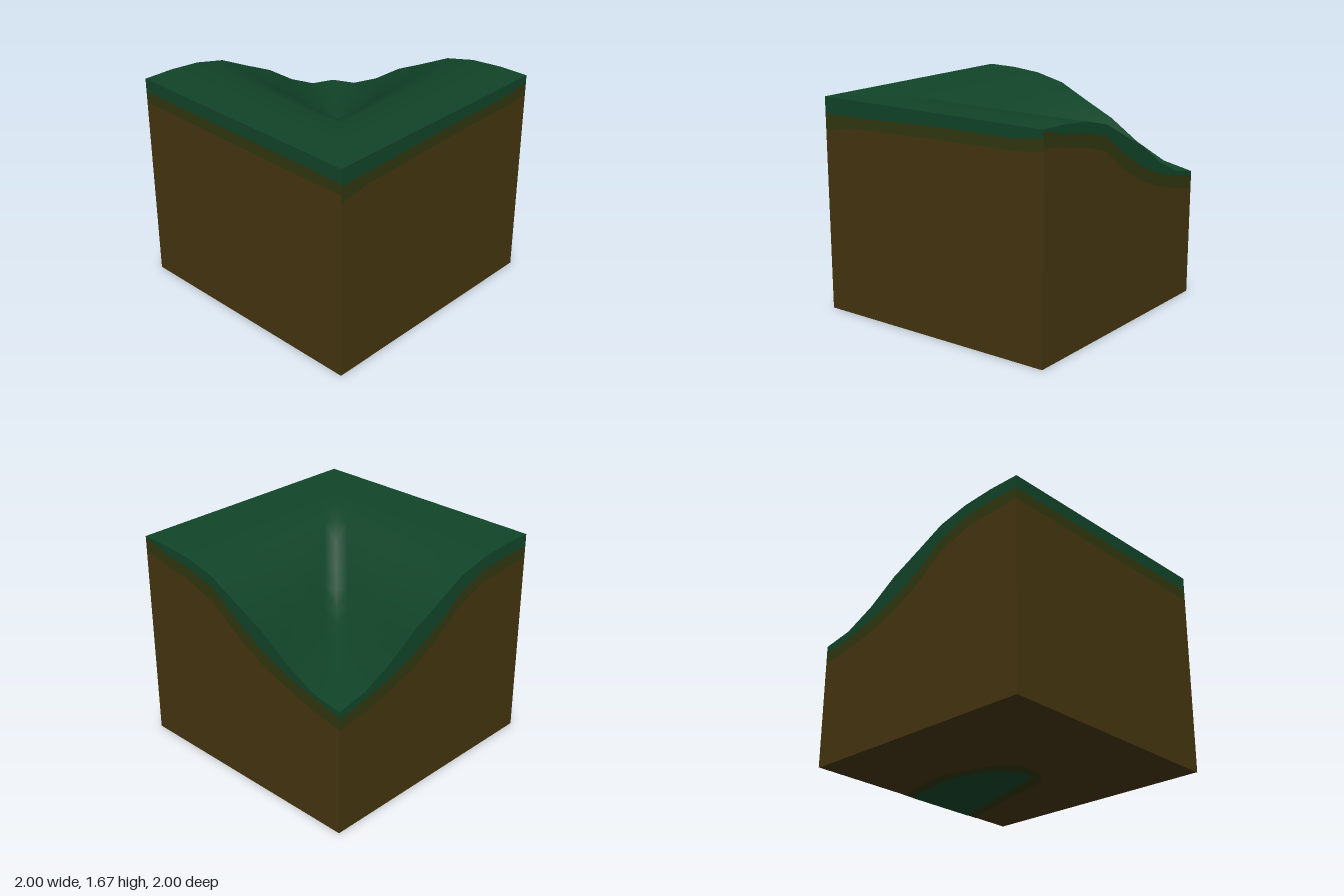
import * as THREE from 'three';

const mat = (name, color, side = THREE.FrontSide) => {
  const m = new THREE.MeshStandardMaterial({ color, side });
  m.name = name;
  return m;
};

// Slope height at quarter-unit steps away from the low corner
const SLOPE = [1.0, 1.05, 1.17, 1.335, 1.455, 1.58, 1.64, 1.663, 1.667];

const sample = (list, s) => {
  const c = Math.min(Math.max(s, 0), list.length - 1);
  const i = Math.min(Math.floor(c), list.length - 2);
  return THREE.MathUtils.lerp(list[i], list[i + 1], c - i);
};

// Ground height: an inner corner slope with a valley running up the diagonal
function groundHeight(x, z) {
  const u = 1 - x, v = 1 + z;
  const far = Math.max(u, v), near = Math.min(u, v);
  const k = 0.55 * (1 - THREE.MathUtils.smoothstep(far, 0.7, 1.6));
  return sample(SLOPE, (far - k * near) * 4);
}

// Plane grid with every vertex moved by a rule
function grid(nu, nv, rule) {
  const geo = new THREE.PlaneGeometry(2, 2, nu, nv);
  const p = geo.attributes.position;
  for (let i = 0; i < p.count; i++) p.setXYZ(i, ...rule(p.getX(i), p.getY(i)));
  geo.computeVertexNormals();
  return geo;
}

export function createModel() {
  const grass = mat('grass green', 0x114428);
  const turf = mat('olive turf', 0x30370f);
  const earth = mat('brown earth', 0x453510);
  const model = new THREE.Group();
  model.name = 'terrainBlock';

  const add = (name, geo, material, parent = model) => {
    const mesh = new THREE.Mesh(geo, material);
    mesh.name = name;
    parent.add(mesh);
    return mesh;
  };

  // Grassy top
  add('groundSurface', grid(16, 16, (x, y) => [x, groundHeight(x, -y), -y]), grass);

  // Walls: t runs left to right seen from outside; grass and turf depths below the rim
  const walls = [
    { name: 'frontWall', at: t => [t, 1],
      grass: [0.127, 0.122, 0.117, 0.107, 0.097, 0.092, 0.092, 0.087, 0.057],
      turf: [0.13, 0.09, 0.09, 0.09, 0.09, 0.09, 0.085, 0.09, 0.09] },
    { name: 'eastWall', at: t => [1, -t],
      grass: [0.005, 0.07, 0.08, 0.085, 0.13, 0.155, 0.09, 0.035, 0.04],
      turf: [0.11, 0.09, 0.1, 0.11, 0.12, 0.115, 0.1, 0.105, 0.1] },
    { name: 'backWall', at: t => [-t, -1],
      grass: [0.06, 0.06, 0.12, 0.19, 0.18, 0.13, 0.1, 0.1, 0.1],
      turf: [0.09, 0.1, 0.1, 0.11, 0.11, 0.1, 0.1, 0.1, 0.09] },
    { name: 'westWall', at: t => [-1, t], grass: [0.1, 0.11], turf: [0.09, 0.09] },
  ];

  for (const w of walls) {
    const group = new THREE.Group();
    group.name = w.name;
    model.add(group);
    const along = (list, t) => sample(list, (t + 1) / 2 * (list.length - 1));
    const rim = t => groundHeight(...w.at(t));
    const grassEnd = t => rim(t) - along(w.grass, t);
    const turfEnd = t => grassEnd(t) - along(w.turf, t);
    const band = (top, bottom) => grid(16, 1, (t, y) => {
      const [x, z] = w.at(t);
      return [x, y > 0 ? top(t) : bottom(t), z];
    });
    add('grassBand', band(rim, grassEnd), grass, group);
    add('turfBand', band(grassEnd, turfEnd), turf, group);
    add('earthBand', band(turfEnd, () => 0), earth, group);
  }

  // Underside with its layered patch, all facing down
  const underside = (name, y, material, points, curved) => {
    const pts = points.map(([x, z]) => new THREE.Vector2(x, z));
    const outline = curved ? new THREE.SplineCurve(pts).getPoints(32) : pts;
    const geo = new THREE.ShapeGeometry(new THREE.Shape(outline));
    geo.rotateX(Math.PI / 2).translate(0, y, 0);
    add(name, geo, material);
  };
  underside('base', 0.004, earth, [[-1, -1], [1, -1], [1, 1], [-1, 1]], false);
  underside('turfPatch', 0.002, turf, [[1, 0.66], [0.5, 0.5], [0, 0.35], [-0.13, 0.12],
    [-0.1, -0.07], [0.15, -0.2], [0.46, -0.26], [0.75, -0.21], [1, -0.15]], true);
  underside('grassPatch', 0, grass, [[1, 0.56], [0.5, 0.4], [0.03, 0.25], [-0.02, 0.1],
    [0.03, 0], [0.2, -0.1], [0.46, -0.15], [0.75, -0.11], [1, -0.05]], true);

  return model;
}
